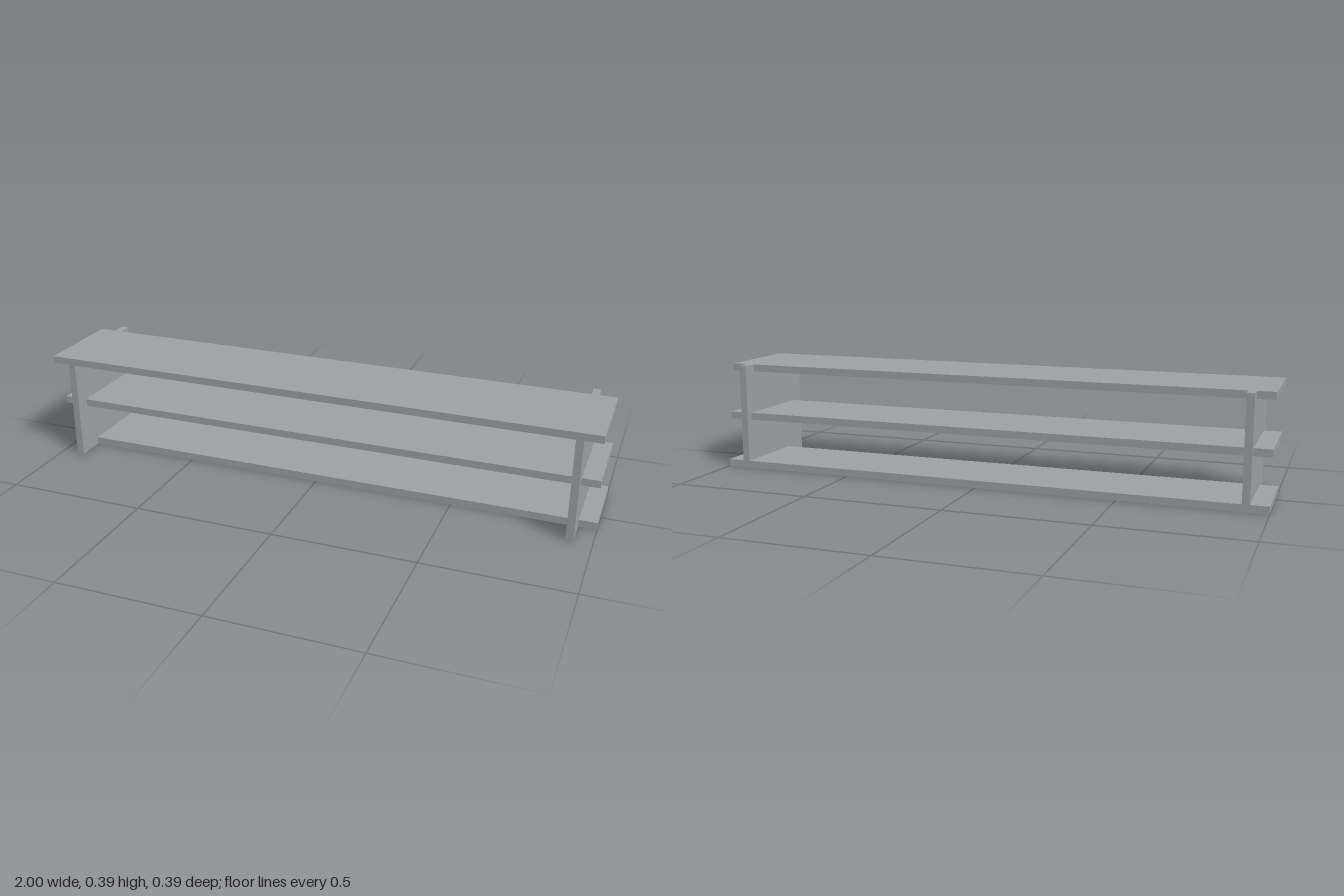
import * as THREE from 'three';

const T = 0.026; // board thickness
const H = 0.386; // overall height
const D = 0.193; // half depth

// Shelves: bottom height and z range
const SHELVES = [
  { name: 'topShelf', y: H - T, back: -0.14, front: D },
  { name: 'middleShelf', y: 0.18, back: -0.167, front: 0.141 },
  { name: 'bottomShelf', y: 0, back: -D, front: 0.09 },
];

// Upright board profile (z, y), notched for the top and bottom shelves, slotted for the middle one
function uprightGeometry() {
  const [top, middle, bottom] = SHELVES;
  const points = [
    [bottom.front, 0], [D, 0], [D, top.y], [top.back, top.y],
    [top.back, H], [-D, H], [-D, T], [bottom.front, T],
  ].map(([z, y]) => new THREE.Vector2(z, y));
  const shape = new THREE.Shape(points);
  const slot = new THREE.Path();
  slot.moveTo(middle.back, middle.y);
  slot.lineTo(middle.back, middle.y + T);
  slot.lineTo(middle.front, middle.y + T);
  slot.lineTo(middle.front, middle.y);
  slot.closePath();
  shape.holes.push(slot);
  return new THREE.ExtrudeGeometry(shape, { depth: T, bevelEnabled: false })
    .translate(0, 0, -T / 2)
    .rotateY(-Math.PI / 2);
}

export function createModel() {
  const model = new THREE.Group();
  model.name = 'shelfUnit';
  const grey = new THREE.MeshStandardMaterial({ color: 0x9fa1a6 });
  grey.name = 'grey board';

  // Long shelves running past the uprights
  for (const { name, y, back, front } of SHELVES) {
    const shelf = new THREE.Mesh(new THREE.BoxGeometry(2, T, front - back), grey);
    shelf.name = name;
    shelf.position.set(0, y + T / 2, (front + back) / 2);
    model.add(shelf);
  }

  // Uprights near both ends
  const geometry = uprightGeometry();
  for (const side of [1, -1]) {
    const upright = new THREE.Mesh(geometry, grey);
    upright.name = side > 0 ? 'leftUpright' : 'rightUpright';
    upright.position.x = side * 0.925;
    model.add(upright);
  }
  return model;
}
